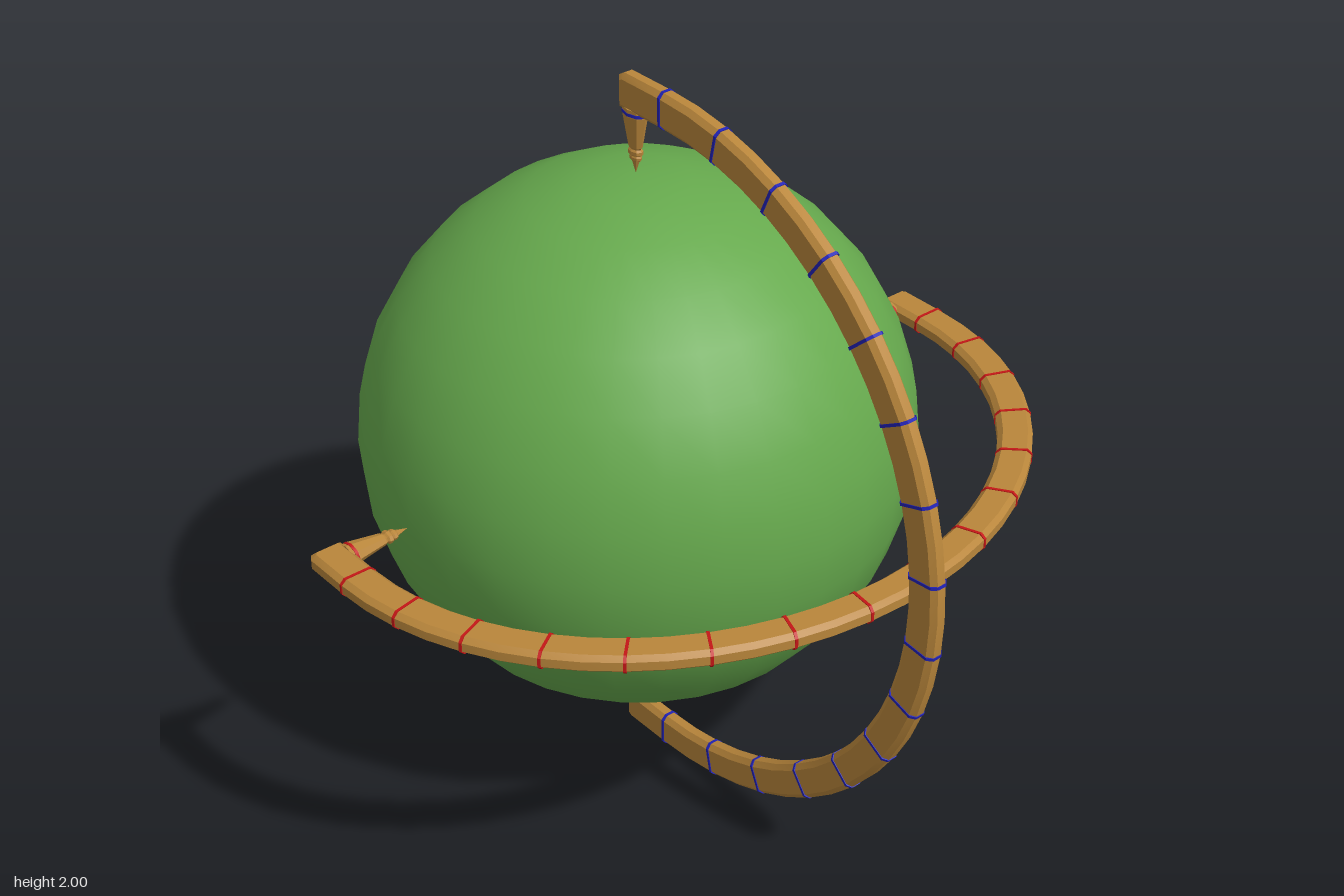
import * as THREE from 'three';
import { toCreasedNormals } from 'three/addons/utils/BufferGeometryUtils.js';

const material = (color, extra = {}) => new THREE.MeshStandardMaterial({ color, ...extra });
const brass = material(0xb9863b);
const brassFlat = material(0xb9863b, { flatShading: true });
const red = material(0xc41616);
const blue = material(0x2222b8);

const RADIUS = 0.95, HALF_WIDTH = 0.048, CENTRE = 0.12, END = -0.045;
const STEP = Math.PI / 15; // angle between neighbouring bands

function add(parent, name, geometry, mat) {
  const mesh = new THREE.Mesh(geometry, mat);
  mesh.name = name;
  parent.add(mesh);
  return mesh;
}

// C-shaped bar with chamfered edges, lying in XY and opening towards -y
function archGeometry() {
  const arc = (r) => Array.from({ length: 31 }, (_, i) => {
    const a = i * STEP / 2;
    return new THREE.Vector2(r * Math.cos(a), CENTRE + r * Math.sin(a));
  });
  const outer = RADIUS + HALF_WIDTH, inner = RADIUS - HALF_WIDTH;
  const shape = new THREE.Shape([
    new THREE.Vector2(outer - 0.012, END), new THREE.Vector2(outer, END + 0.02),
    ...arc(outer),
    new THREE.Vector2(-outer, END + 0.02), new THREE.Vector2(-outer + 0.012, END),
    new THREE.Vector2(-inner, END),
    ...arc(inner).reverse(),
    new THREE.Vector2(inner, END),
  ]);
  const geometry = new THREE.ExtrudeGeometry(shape, {
    depth: 0.024, bevelEnabled: true, bevelSegments: 1,
    bevelThickness: 0.012, bevelSize: 0.014, bevelOffset: -0.014,
  });
  geometry.translate(0, 0, -0.012);
  return toCreasedNormals(geometry, 0.4);
}

// Thin collar matching the chamfered section of the bar
function bandGeometry() {
  const w = HALF_WIDTH + 0.002, h = 0.026, c = 0.013;
  const shape = new THREE.Shape([
    [w, -h + c], [w, h - c], [w - c, h], [-w + c, h],
    [-w, h - c], [-w, -h + c], [-w + c, -h], [w - c, -h],
  ].map(([x, y]) => new THREE.Vector2(x, y)));
  const geometry = new THREE.ExtrudeGeometry(shape, { depth: 0.008, bevelEnabled: false });
  geometry.translate(0, 0, -0.004);
  return geometry.rotateX(Math.PI / 2); // section in XZ, thickness along y
}

// Tapered pivot with small collars and a sharp tip
function pivotGeometry() {
  const profile = [
    [0, -0.01], [0.039, -0.01], [0.039, 0.01], [0.022, 0.095], [0.018, 0.1],
    [0.024, 0.105], [0.024, 0.114], [0.017, 0.118], [0.02, 0.122],
    [0.019, 0.13], [0.012, 0.134], [0, 0.168],
  ].map(([r, y]) => new THREE.Vector2(r, y));
  return new THREE.LatheGeometry(profile, 8);
}

function createArch(name, bandMaterial) {
  const arch = new THREE.Group();
  arch.name = name;
  add(arch, 'archBar', archGeometry(), brass);

  const band = bandGeometry();
  for (let i = 0; i <= 15; i++) {
    const a = i * STEP;
    const mesh = add(arch, 'band', band, bandMaterial);
    mesh.position.set(RADIUS * Math.cos(a), CENTRE + RADIUS * Math.sin(a), 0);
    mesh.rotation.z = a;
  }

  for (const side of [1, -1]) {
    const pivot = new THREE.Group();
    pivot.name = 'pivot';
    pivot.position.x = side * (RADIUS - HALF_WIDTH);
    pivot.rotation.z = side * Math.PI / 2;
    pivot.scale.z = 0.65;
    add(pivot, 'pivotCone', pivotGeometry(), brassFlat);
    add(pivot, 'pivotBand', new THREE.CylinderGeometry(0.041, 0.041, 0.008, 8), bandMaterial)
      .position.y = 0.003;
    arch.add(pivot);
  }
  return arch;
}

export function createModel() {
  const model = new THREE.Group();
  model.name = 'globe';
  const assembly = new THREE.Group();
  assembly.name = 'globeAssembly';
  assembly.position.set(0, 1, -0.195);
  model.add(assembly);

  add(assembly, 'sphere', new THREE.SphereGeometry(0.73, 32, 16), material(0x66a94d));

  // Upright arch passes outside the slightly shallower level arch
  const upright = createArch('uprightArch', blue);
  upright.rotation.set(Math.PI / 2, 0, Math.PI / 2, 'ZXY');
  const level = createArch('levelArch', red);
  level.rotation.x = Math.PI / 2;
  level.scale.y = 0.895;
  assembly.add(upright, level);
  return model;
}
